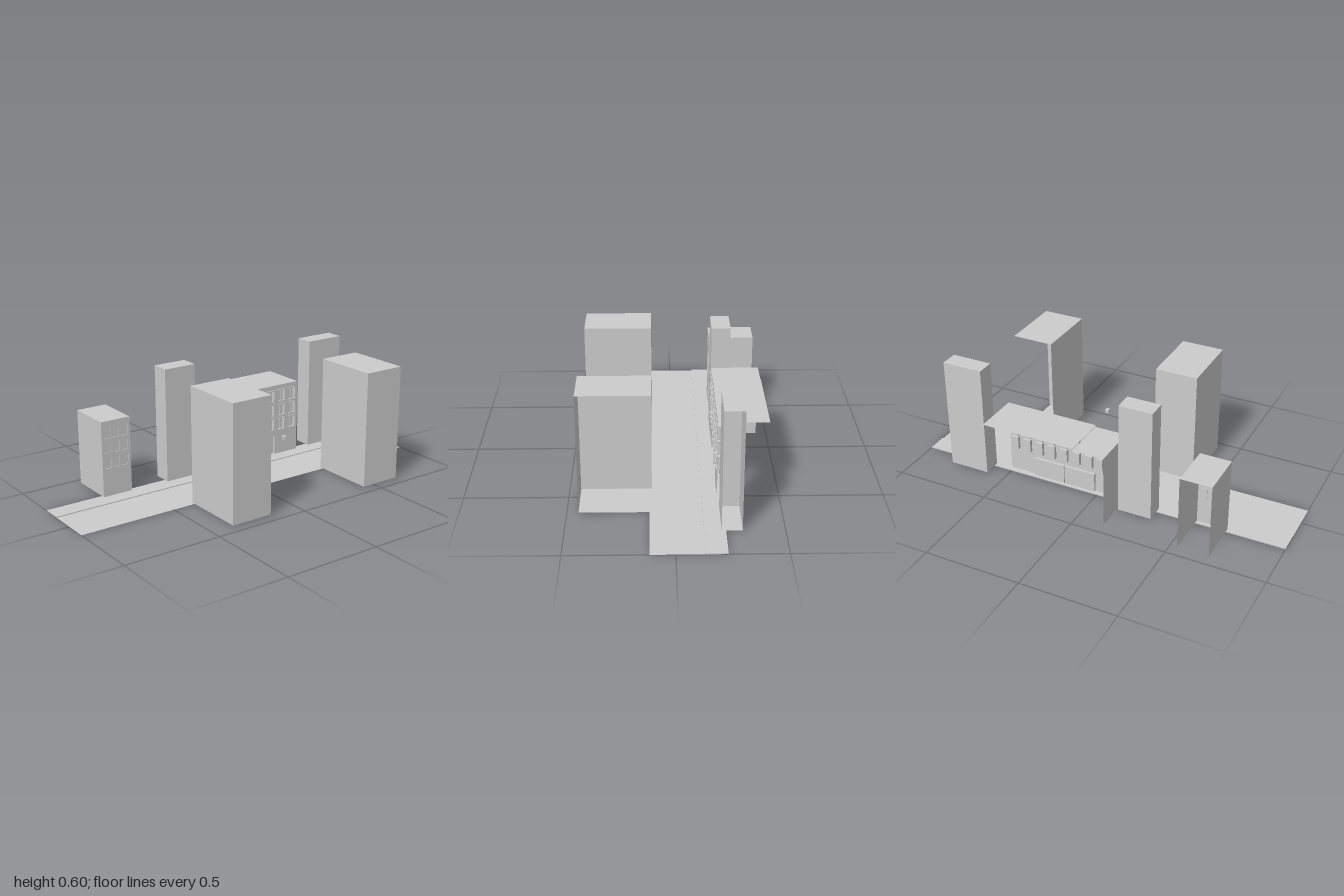
import * as THREE from 'three';

const grey = new THREE.MeshStandardMaterial({ color: 0xcccccc, flatShading: true, side: THREE.DoubleSide });
const SIDES = ['+x', '-x', '+y', '-y', '+z', '-z'];

// Thin-walled box given by its limits, with the listed sides left out
function shell(name, [x0, x1], [y0, y1], [z0, z1], open = []) {
  const geo = new THREE.BoxGeometry(x1 - x0, y1 - y0, z1 - z0);
  const source = geo.getIndex().array;
  const kept = [];
  geo.groups.forEach((g, i) => {
    if (!open.includes(SIDES[i])) kept.push(...source.slice(g.start, g.start + g.count));
  });
  geo.clearGroups();
  geo.setIndex(kept);
  geo.translate((x0 + x1) / 2, (y0 + y1) / 2, (z0 + z1) / 2);
  const mesh = new THREE.Mesh(geo, grey);
  mesh.name = name;
  return mesh;
}

function rectPath(path, x0, x1, y0, y1) {
  path.moveTo(x0, y0);
  path.lineTo(x1, y0);
  path.lineTo(x1, y1);
  path.lineTo(x0, y1);
  path.closePath();
  return path;
}

// Front wall with recessed openings [x0, x1, y0, y1, depth]
function facade(name, [x0, x1], [y0, y1], z, openings) {
  const group = new THREE.Group();
  group.name = name;
  const shape = rectPath(new THREE.Shape(), x0, x1, y0, y1);
  for (const [a, b, c, d, depth] of openings) {
    shape.holes.push(rectPath(new THREE.Path(), a, b, c, d));
    group.add(shell('recess', [a, b], [c, d], [z - depth, z], ['+z']));
  }
  const wall = new THREE.Mesh(new THREE.ShapeGeometry(shape), grey);
  wall.position.z = z;
  wall.name = 'frontWall';
  group.add(wall);
  return group;
}

// Evenly spaced grid of window openings
function windowGrid([x0, x1], columns, width, rows, height, depth) {
  const list = [];
  const step = (x1 - x0) / columns;
  for (const y of rows) {
    for (let i = 0; i < columns; i++) {
      const cx = x0 + step * (i + 0.5);
      list.push([cx - width / 2, cx + width / 2, y, y + height, depth]);
    }
  }
  return list;
}

export function createModel() {
  const model = new THREE.Group();
  model.name = 'streetScene';
  const base = 0.005;

  // Road and raised pavement
  const road = new THREE.Mesh(new THREE.PlaneGeometry(2, 0.245).rotateX(-Math.PI / 2), grey);
  road.position.z = -0.0075;
  road.name = 'road';
  model.add(road, shell('pavement', [-1, 1], [0, base], [-0.23, -0.13]));

  // Plain tower blocks
  model.add(
    shell('frontLeftBlock', [-0.385, -0.165], [base, 0.6], [0.105, 0.445]),
    shell('frontRightBlock', [0.43, 0.65], [base, 0.6], [0.105, 0.445], ['+x', '-z']),
    shell('slimTowerLeft', [-0.333, -0.157], [base, 0.6], [-0.3, -0.203]),
    shell('slimTowerRight', [0.6, 0.815], [base, 0.6], [-0.305, -0.21], ['+x'])
  );

  // Small house with nine windows, open at the back
  const house = new THREE.Group();
  house.name = 'windowedHouse';
  house.add(
    shell('houseWalls', [-0.7, -0.54], [base, 0.395], [-0.45, -0.21], ['+z', '-z', '-y']),
    facade('houseFront', [-0.7, -0.54], [base, 0.395], -0.21,
      windowGrid([-0.693, -0.547], 3, 0.036, [0.15, 0.23, 0.305], 0.053, 0.004))
  );
  model.add(house);

  // Main terrace: two facades with recessed windows and overhanging roofs
  const terrace = new THREE.Group();
  terrace.name = 'terrace';
  const rows = [0.14, 0.22, 0.3];
  const back = -0.445, front = -0.203;
  const sections = [
    { name: 'shortSection', x: [-0.15, 0.015], top: 0.385, columns: 3, width: 0.034, doors: [] },
    { name: 'longSection', x: [0.015, 0.51], top: 0.395, columns: 7, width: 0.042,
      doors: [[0.018, 0.188, 0.008, 0.11, 0.015], [0.192, 0.36, 0.008, 0.11, 0.015]] }
  ];
  for (const s of sections) {
    const windows = windowGrid(s.x, s.columns, s.width, rows, 0.07, 0.018);
    const section = facade(s.name, s.x, [base, s.top], front, [...windows, ...s.doors]);
    // Lintel, sill and a central glazing bar on each window
    for (const [a, b, c, d] of windows) {
      const mid = (a + b) / 2;
      section.add(
        shell('lintel', [a - 0.002, b + 0.002], [d - 0.006, d], [front, front + 0.005]),
        shell('sill', [a - 0.002, b + 0.002], [c, c + 0.005], [front, front + 0.005]),
        shell('glazingBar', [mid - 0.002, mid + 0.002], [c, d], [front - 0.012, front - 0.008])
      );
    }
    const roof = new THREE.Mesh(
      new THREE.PlaneGeometry(s.x[1] - s.x[0], front - back).rotateX(-Math.PI / 2), grey);
    roof.position.set((s.x[0] + s.x[1]) / 2, s.top, (front + back) / 2);
    roof.name = 'roof';
    section.add(roof);
    terrace.add(section);
  }
  // End wall of the terrace
  terrace.add(shell('endWall', [-0.15, -0.148], [base, 0.385], [back, front], ['+y', '-y', '+z', '-z', '+x']));
  model.add(terrace);

  // Small hanging cube
  model.add(shell('smallCube', [0.126, 0.144], [0.242, 0.26], [0.155, 0.175]));

  return model;
}
